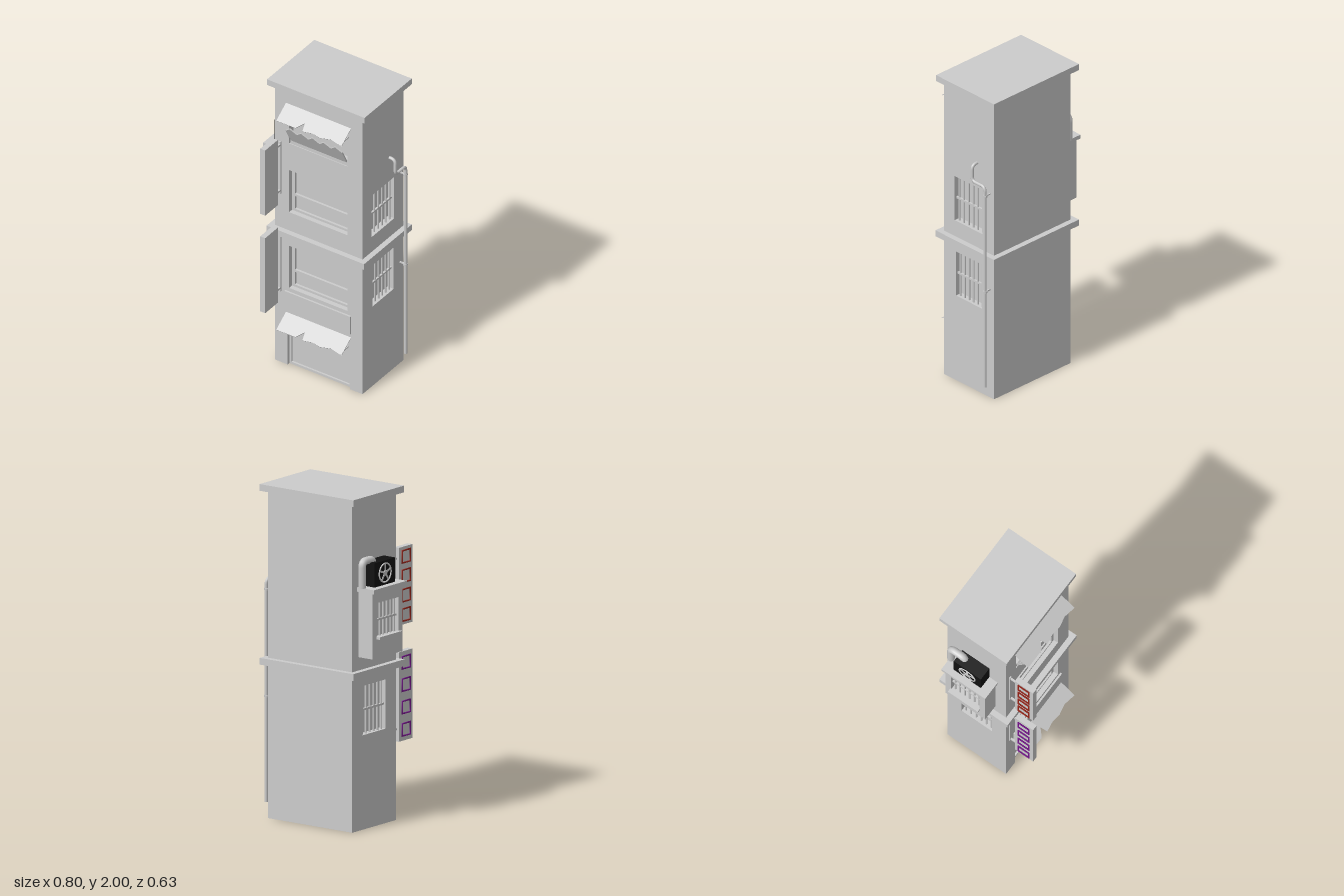
import * as THREE from 'three';

const grey = new THREE.MeshStandardMaterial({ color: 0xcccccc });
const thin = new THREE.MeshStandardMaterial({ color: 0xcccccc, side: THREE.DoubleSide });
const black = new THREE.MeshStandardMaterial({ color: 0x111111 });
const red = new THREE.MeshStandardMaterial({ color: 0x9c2418 });
const purple = new THREE.MeshStandardMaterial({ color: 0x7a1690 });

function add(parent, name, geo, mat = grey) {
  const mesh = new THREE.Mesh(geo, mat);
  mesh.name = name;
  parent.add(mesh);
  return mesh;
}

// box given by its two extreme corners
function box(parent, name, x0, x1, y0, y1, z0, z1, mat) {
  const geo = new THREE.BoxGeometry(x1 - x0, y1 - y0, z1 - z0);
  geo.translate((x0 + x1) / 2, (y0 + y1) / 2, (z0 + z1) / 2);
  return add(parent, name, geo, mat);
}

function polygon(points) {
  return new THREE.Shape(points.map(p => new THREE.Vector2(...p)));
}

// upright plate with rectangular holes [u0, u1, y0, y1]
function wall(outline, holes, depth) {
  const shape = polygon(outline);
  for (const [a, b, c, d] of holes) {
    shape.holes.push(new THREE.Path([[a, c], [a, d], [b, d], [b, c]].map(p => new THREE.Vector2(...p))));
  }
  return new THREE.ExtrudeGeometry(shape, { depth, bevelEnabled: false });
}

const rect = (a, b, c, d) => [[a, c], [b, c], [b, d], [a, d]];

// polyline pipe with rounded corners
function pipe(parent, name, pts, radius, bend) {
  const v = pts.map(p => new THREE.Vector3(...p));
  const path = new THREE.CurvePath();
  let last = v[0];
  for (let i = 1; i < v.length - 1; i++) {
    const a = v[i].clone().add(v[i - 1].clone().sub(v[i]).setLength(bend));
    const b = v[i].clone().add(v[i + 1].clone().sub(v[i]).setLength(bend));
    path.add(new THREE.LineCurve3(last, a));
    path.add(new THREE.QuadraticBezierCurve3(a, v[i], b));
    last = b;
  }
  path.add(new THREE.LineCurve3(last, v[v.length - 1]));
  return add(parent, name, new THREE.TubeGeometry(path, 160, radius, 10), thin);
}

// two-pane window set back in the front wall
function sashWindow(parent, y0) {
  const g = new THREE.Group();
  g.name = 'frontWindow';
  box(g, 'glass', -0.17, 0.245, y0, y0 + 0.3, 0.09, 0.095);
  const frame = wall(rect(-0.17, 0.245, y0, y0 + 0.3),
    [[-0.15, 0.225, y0 + 0.015, y0 + 0.105], [-0.15, 0.225, y0 + 0.12, y0 + 0.285]], 0.015);
  add(g, 'windowFrame', frame.translate(0, 0, 0.095));
  parent.add(g);
}

// grille of bars in local x, y, facing +z
function barredWindow(w, h) {
  const g = new THREE.Group();
  g.name = 'barredWindow';
  box(g, 'windowBack', -w / 2, w / 2, 0, h, -0.05, -0.045);
  for (let i = 0; i < 6; i++) {
    const x = -w / 2 + w * (i + 0.5) / 6;
    add(g, 'bar', new THREE.CylinderGeometry(0.006, 0.006, h, 8).translate(x, h / 2, -0.02));
  }
  box(g, 'crossBar', -w / 2, w / 2, h / 2 - 0.006, h / 2 + 0.006, -0.026, -0.014);
  return g;
}

// torn sloping canopy with side brackets
function awning(parent, top) {
  const g = new THREE.Group();
  g.name = 'awning';
  const slope = Math.atan2(0.1, 0.07), len = 0.122;
  const cloth = polygon([[-0.19, 0], [-0.19, -len], [-0.055, -len + 0.001], [-0.015, -len + 0.048],
    [-0.004, -len - 0.003], [0.06, -len + 0.008], [0.12, -len], [0.19, -len + 0.015], [0.27, -len], [0.27, 0]]);
  const m = add(g, 'cloth', new THREE.ExtrudeGeometry(cloth, { depth: 0.004, bevelEnabled: false }), thin);
  m.rotation.x = -slope;
  m.position.set(0, top, 0.14);
  for (const x of [-0.17, 0.25]) {
    box(g, 'bracket', x - 0.003, x + 0.003, top - 0.073, top - 0.067, 0.14, 0.235);
  }
  parent.add(g);
}

// projecting sign box with abstract neon loops on its outer side
function sign(parent, y0, y1, neon) {
  const g = new THREE.Group();
  g.name = 'hangingSign';
  box(g, 'signBox', -0.25, -0.215, y0, y1, 0.19, 0.32);
  box(g, 'wallRail', -0.24, -0.225, y0 + 0.05, y1 - 0.045, 0.14, 0.148);
  for (const y of [y0 + 0.075, y1 - 0.065]) box(g, 'arm', -0.238, -0.226, y - 0.006, y + 0.006, 0.14, 0.19);
  const step = (y1 - y0) / 4;
  for (let i = 0; i < 4; i++) {
    const loop = add(g, 'neonLoop', new THREE.TorusGeometry(0.043, 0.006, 6, 4).rotateZ(Math.PI / 4), neon);
    loop.scale.set(1.25, 1.2, 0.8);
    loop.rotation.y = -Math.PI / 2;
    loop.position.set(-0.254, y0 + step * (i + 0.5), 0.255);
  }
  parent.add(g);
}

export function createModel() {
  const model = new THREE.Group();
  model.name = 'narrowBuilding';
  const t = 0.05;

  // hollow walls, open underneath, with a doorway and window openings
  const front = [[-0.27, 0], [-0.18, 0], [-0.18, 0.37], [0.26, 0.37], [0.26, 0], [0.35, 0], [0.35, 1.96], [-0.27, 1.96]];
  add(model, 'frontWall', wall(front,
    [[-0.17, 0.245, 0.55, 0.85], [-0.17, 0.245, 1.09, 1.39], [-0.17, 0.245, 1.58, 1.83]], t).translate(0, 0, 0.09));
  add(model, 'rightWall', wall(rect(-0.09, 0.23, 0, 1.96),
    [[-0.04, 0.18, 0.565, 0.86], [-0.05, 0.185, 1.065, 1.36]], t).rotateY(Math.PI / 2).translate(0.3, 0, 0)).name = 'leftSideWall';
  add(model, 'rightSideWall', wall(rect(-0.23, 0.09, 0, 1.96),
    [[-0.18, 0.04, 0.565, 0.86]], t).rotateY(-Math.PI / 2).translate(-0.22, 0, 0));
  box(model, 'backWall', -0.27, 0.35, 0, 1.96, -0.28, -0.23);
  box(model, 'roofSlab', -0.305, 0.385, 1.96, 2, -0.315, 0.17);
  box(model, 'floorLedge', -0.305, 0.385, 0.92, 0.96, -0.315, 0.175);

  // ground floor front: door, fascia board
  box(model, 'door', -0.18, 0.26, 0.01, 0.37, 0.1, 0.11);
  add(model, 'doorFrame', wall(rect(-0.18, 0.26, 0, 0.37), [[-0.165, 0.245, 0.015, 0.355]], 0.012).translate(0, 0, 0.11));
  box(model, 'fasciaBoard', -0.195, 0.27, 0.4, 0.525, 0.14, 0.152);
  for (const top of [0.37, 1.86]) awning(model, top);
  for (const y of [0.55, 1.09]) sashWindow(model, y);

  // top opening with a broken, outward leaning shutter
  box(model, 'topOpeningBack', -0.17, 0.245, 1.58, 1.83, 0.09, 0.095);
  box(model, 'topOpeningSill', -0.165, 0.24, 1.58, 1.62, 0.1, 0.135);
  const teeth = [[-0.16, 0], [0.24, 0]];
  for (let i = 0; i <= 10; i++) teeth.push([0.24 - i * 0.04, i % 2 ? 0.115 : 0.075]);
  const shutter = add(model, 'brokenShutter',
    new THREE.ExtrudeGeometry(polygon(teeth), { depth: 0.008, bevelEnabled: false }), thin);
  shutter.rotation.x = 0.46;
  shutter.position.set(0, 1.64, 0.15);
  const board = box(model, 'shutterBoard', -0.155, 0.235, 0, 0.055, 0, 0.01);
  board.rotation.x = 0.46;
  board.position.set(0, 1.61, 0.13);

  // barred side windows
  for (const [x, y, z, w, turn] of [[0.35, 0.565, -0.07, 0.22, 1], [0.35, 1.065, -0.0675, 0.235, 1],
    [-0.27, 0.565, -0.07, 0.22, -1]]) {
    const win = barredWindow(w, 0.295);
    win.rotation.y = turn * Math.PI / 2;
    win.position.set(x, y, z);
    model.add(win);
  }

  // bay on the right side with a barred window
  const bay = new THREE.Group();
  bay.name = 'sideBay';
  add(bay, 'bayFace', wall(rect(-0.22, 0.065, 1.04, 1.435), [[-0.18, 0.025, 1.16, 1.37]], 0.105)
    .rotateY(-Math.PI / 2).translate(-0.27, 0, 0));
  box(bay, 'bayCap', -0.395, -0.27, 1.435, 1.46, -0.235, 0.08);
  box(bay, 'baySill', -0.4, -0.37, 1.155, 1.17, -0.185, 0.03);
  const bayWindow = barredWindow(0.205, 0.21);
  bayWindow.rotation.y = -Math.PI / 2;
  bayWindow.position.set(-0.375, 1.16, -0.0775);
  bay.add(bayWindow);
  model.add(bay);

  // fan unit and its duct on the bay
  const fan = new THREE.Group();
  fan.name = 'fanUnit';
  box(fan, 'fanHousing', -0.355, -0.27, 1.46, 1.605, -0.175, 0.02, black);
  const rotor = new THREE.Group();
  rotor.name = 'fanRotor';
  add(rotor, 'fanRing', new THREE.TorusGeometry(0.056, 0.005, 8, 28));
  add(rotor, 'fanHub', new THREE.CylinderGeometry(0.016, 0.016, 0.01, 16).rotateX(Math.PI / 2));
  for (let i = 0; i < 5; i++) {
    const blade = add(rotor, 'fanBlade', new THREE.BoxGeometry(0.012, 0.045, 0.004).translate(0, 0.033, 0));
    blade.rotation.z = i * Math.PI * 2 / 5;
  }
  rotor.rotation.y = -Math.PI / 2;
  rotor.position.set(-0.356, 1.532, -0.0775);
  fan.add(rotor);
  pipe(fan, 'duct', [[-0.305, 1.46, -0.23], [-0.305, 1.617, -0.23], [-0.305, 1.617, -0.13], [-0.305, 1.56, -0.13]], 0.023, 0.035);
  model.add(fan);

  // drain pipe with clamps on the left side
  pipe(model, 'drainPipe', [[0.39, 0.085, -0.245], [0.39, 1.42, -0.245], [0.39, 1.42, -0.138],
    [0.39, 1.525, -0.138], [0.345, 1.525, -0.138]], 0.01, 0.03);
  for (const y of [0.72, 1.36]) {
    add(model, 'pipeClamp', new THREE.CylinderGeometry(0.014, 0.014, 0.012, 12).translate(0.388, y, -0.245));
    box(model, 'clampArm', 0.35, 0.385, y - 0.004, y + 0.004, -0.249, -0.241);
  }

  sign(model, 1.15, 1.615, red);
  sign(model, 0.455, 0.99, purple);
  return model;
}
